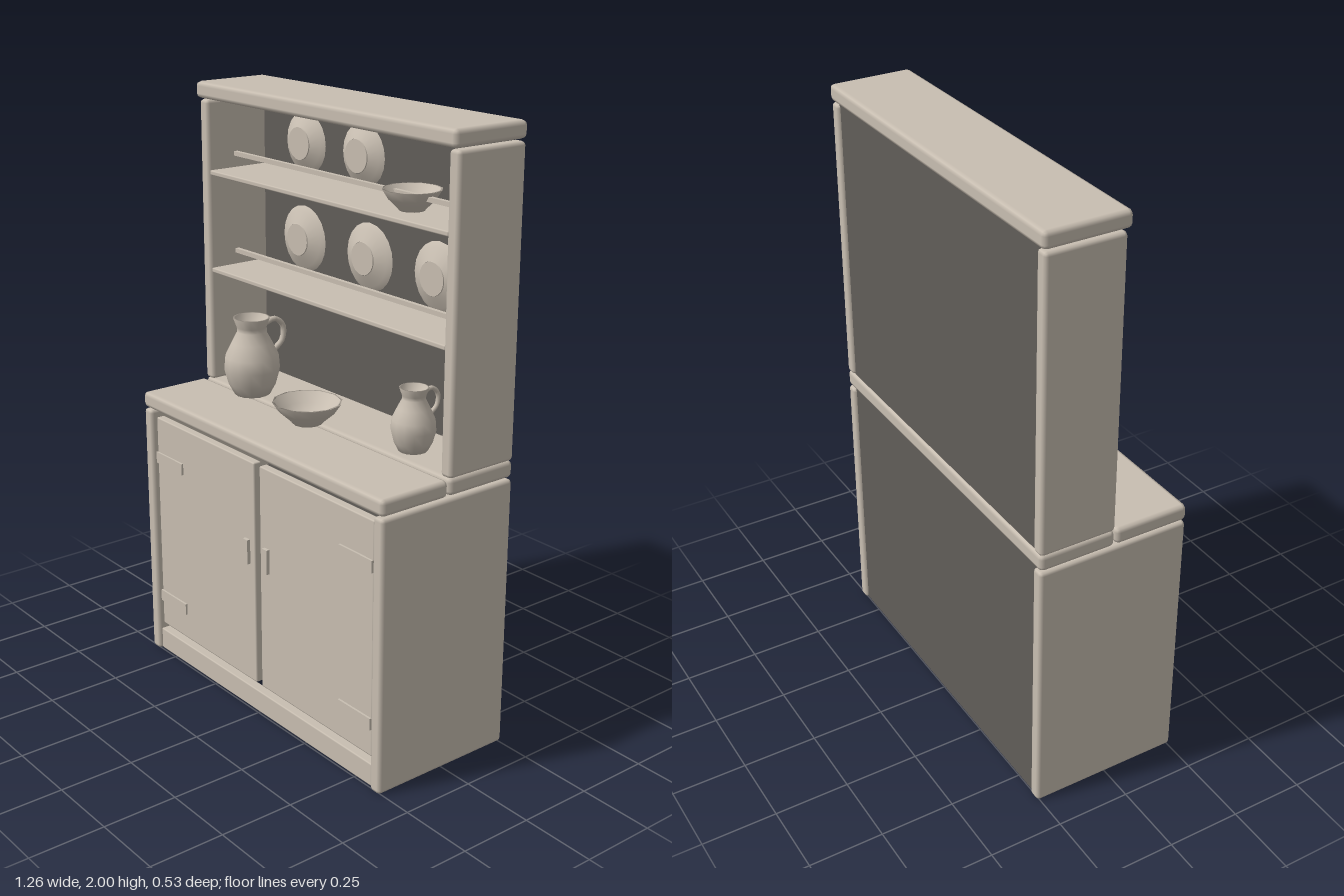
import * as THREE from 'three';
import { RoundedBoxGeometry } from 'three/addons/geometries/RoundedBoxGeometry.js';

export function createModel() {
  const model = new THREE.Group();
  const wood = new THREE.MeshStandardMaterial({ color: 0xc8beb1 });
  wood.name = 'pale wood';
  const dark = new THREE.MeshStandardMaterial({ color: 0x615d59 });
  dark.name = 'dark backing';
  const china = wood.clone();
  china.name = 'pale china';
  china.side = THREE.DoubleSide;

  function add(name, geometry, material, x = 0, y = 0, z = 0, parent = model) {
    const mesh = new THREE.Mesh(geometry, material);
    mesh.name = name;
    mesh.position.set(x, y, z);
    parent.add(mesh);
    return mesh;
  }

  // Box given by its limits; bevel > 0 softens the edges
  function board(name, x0, x1, y0, y1, z0, z1, bevel = 0, material = wood) {
    const size = [x1 - x0, y1 - y0, z1 - z0];
    const geometry = bevel ? new RoundedBoxGeometry(...size, 1, bevel) : new THREE.BoxGeometry(...size);
    return add(name, geometry, material, (x0 + x1) / 2, (y0 + y1) / 2, (z0 + z1) / 2);
  }

  // Mirrored pair of boards
  function pair(name, x0, x1, ...rest) {
    board('left' + name, x0, x1, ...rest);
    board('right' + name, -x1, -x0, ...rest);
  }

  // Carcass: side walls, worktop, top board and plinth
  pair('LowerSide', 0.585, 0.63, 0, 0.91, -0.26, 0.26, 0.012);
  pair('UpperSide', 0.585, 0.63, 0.97, 1.94, -0.26, 0, 0.012);
  board('worktopFront', -0.63, 0.63, 0.915, 0.97, 0.005, 0.262, 0.015);
  board('worktopRear', -0.63, 0.63, 0.915, 0.972, -0.26, 0.0, 0.015);
  board('topBoard', -0.63, 0.63, 1.945, 2, -0.265, 0.016, 0.015);
  board('plinth', -0.583, 0.583, 0.005, 0.083, 0.215, 0.25, 0.005);

  // Dark back panels
  board('lowerBack', -0.59, 0.59, 0.005, 0.915, -0.25, -0.235, 0, dark);
  board('upperBack', -0.59, 0.59, 0.97, 1.947, -0.25, -0.235, 0, dark);

  // Doors with strap hinges and handles
  pair('Door', 0.014, 0.576, 0.105, 0.887, 0.215, 0.245, 0.005);
  for (const y of [0.198, 0.722]) pair('Hinge', 0.42, 0.574, y, y + 0.04, 0.244, 0.252);
  pair('Handle', 0.04, 0.064, 0.53, 0.615, 0.244, 0.257);

  // Shelves, each with a plate rail
  for (const y of [1.355, 1.69]) {
    board('shelf', -0.586, 0.586, y, y + 0.017, -0.236, -0.005, 0.005);
    board('plateRail', -0.586, 0.586, y + 0.055, y + 0.07, -0.12, -0.105);
  }

  const lathe = (points, sides) =>
    new THREE.LatheGeometry(points.map(([r, y]) => new THREE.Vector2(r, y)), sides);

  // Plates standing against the back panel
  function plate(x, y, radius) {
    const group = new THREE.Group();
    group.name = 'plate';
    group.position.set(x, y, -0.232);
    group.rotation.x = Math.PI / 2;
    model.add(group);
    add('plateRim', lathe([[radius, 0], [radius * 0.85, 0.012], [0.055, 0.03]], 20), china, 0, 0, 0, group);
    add('plateCentre', new THREE.CylinderGeometry(0.054, 0.055, 0.006, 20), china, 0, 0.03, 0, group);
  }
  for (const x of [-0.36, -0.02, 0.31]) plate(x, 1.482, 0.113);
  for (const x of [-0.35, -0.055]) plate(x, 1.807, 0.103);

  // Bowls with an open hollow
  function bowl(x, y, z, radius, height) {
    const profile = [[0, 0], [0.42, 0], [0.47, 0.1], [0.8, 0.55], [1, 1], [0.93, 1], [0.72, 0.55], [0.4, 0.2], [0, 0.14]];
    add('bowl', lathe(profile.map(([r, h]) => [r * radius, h * height]), 12), china, x, y, z);
  }
  bowl(-0.025, 0.971, 0.02, 0.115, 0.074);
  bowl(0.31, 1.706, -0.115, 0.092, 0.066);

  // Jugs with a flared neck and a handle at the back
  function jug(x, z, radius, height) {
    const group = new THREE.Group();
    group.name = 'jug';
    group.position.set(x, 0.971, z);
    model.add(group);
    const profile = [[0, 0], [0.62, 0], [0.84, 0.15], [0.98, 0.34], [0.94, 0.5], [0.7, 0.68], [0.5, 0.82],
      [0.52, 0.88], [0.64, 1], [0.57, 1], [0.42, 0.84], [0, 0.78]];
    add('jugBody', lathe(profile.map(([r, h]) => [r * radius, h * height]), 14), china, 0, 0, 0, group);
    const path = new THREE.CatmullRomCurve3([[0.9, 0.5], [1.3, 0.62], [1.35, 0.8], [1.0, 0.92], [0.52, 0.88]]
      .map(([r, h]) => new THREE.Vector3(0, h * height, -r * radius)));
    add('jugHandle', new THREE.TubeGeometry(path, 12, radius * 0.1, 6), china, 0, 0, 0, group);
  }
  jug(-0.38, -0.02, 0.098, 0.268);
  jug(0.375, -0.08, 0.073, 0.205);

  return model;
}
